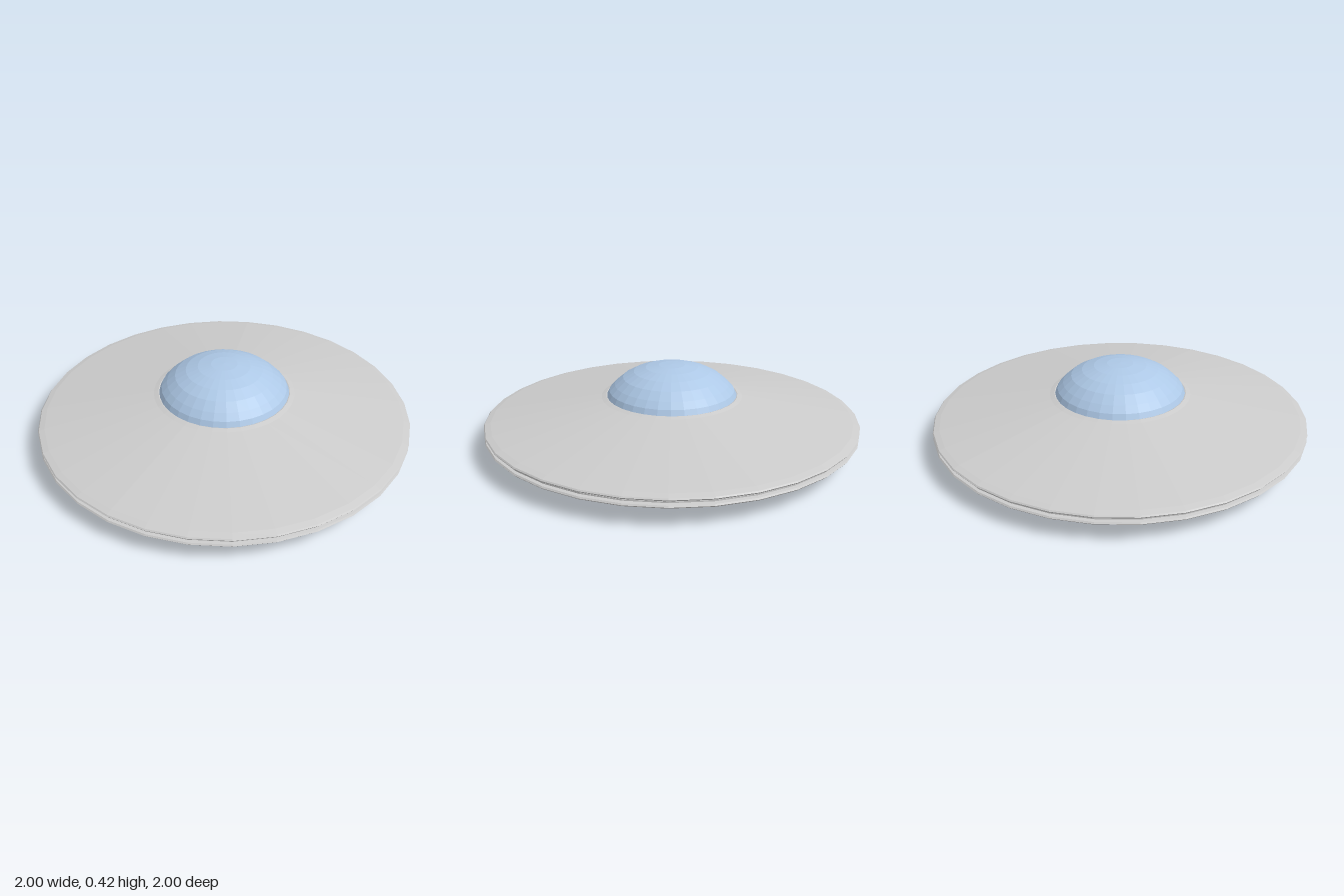
import * as THREE from 'three';

const SIDES = 32;

// Revolve a profile of [radius, height] points, listed from bottom to top on the outside
function revolve(name, points, color) {
  const profile = points.map(([r, y]) => new THREE.Vector2(r, y));
  const geometry = new THREE.LatheGeometry(profile, SIDES);
  const material = new THREE.MeshStandardMaterial({ color, flatShading: true, side: THREE.DoubleSide });
  const mesh = new THREE.Mesh(geometry, material);
  mesh.name = name;
  return mesh;
}

// Narrow channel cut into the sloping underside
function groove(r, y) {
  const half = 0.013, depth = 0.015, slope = 0.113;
  return [
    [r - half, y - half * slope],
    [r - half + 0.004, y + depth],
    [r + half - 0.004, y + depth],
    [r + half, y + half * slope],
  ];
}

export function createModel() {
  const model = new THREE.Group();
  model.name = 'flyingSaucer';

  // Shallow underside with two ring channels, ending in the lower lip
  model.add(revolve('lowerHull', [
    [0, 0], [0.15, 0],
    ...groove(0.45, 0.034),
    ...groove(0.735, 0.066),
    [0.97, 0.093], [0.995, 0.099], [1, 0.105], [0.995, 0.112], [0.97, 0.115],
  ], 0xcccccc));

  // Recessed band between the two lips
  model.add(revolve('rimBand', [
    [0.97, 0.115], [0.985, 0.119], [0.985, 0.125], [0.97, 0.129],
  ], 0xcccccc));

  // Upper lip and conical top, with a small collar around the dome
  model.add(revolve('upperHull', [
    [0.97, 0.129], [0.995, 0.132], [1, 0.139], [0.995, 0.145], [0.965, 0.153],
    [0.38, 0.25], [0.355, 0.257], [0.34, 0.252], [0, 0.252],
  ], 0xcccccc));

  // Faceted canopy
  model.add(revolve('dome', [
    [0.352, 0.252], [0.337, 0.283], [0.307, 0.315], [0.262, 0.353],
    [0.204, 0.384], [0.14, 0.405], [0.07, 0.417], [0, 0.42],
  ], 0xadc8e6));

  return model;
}
